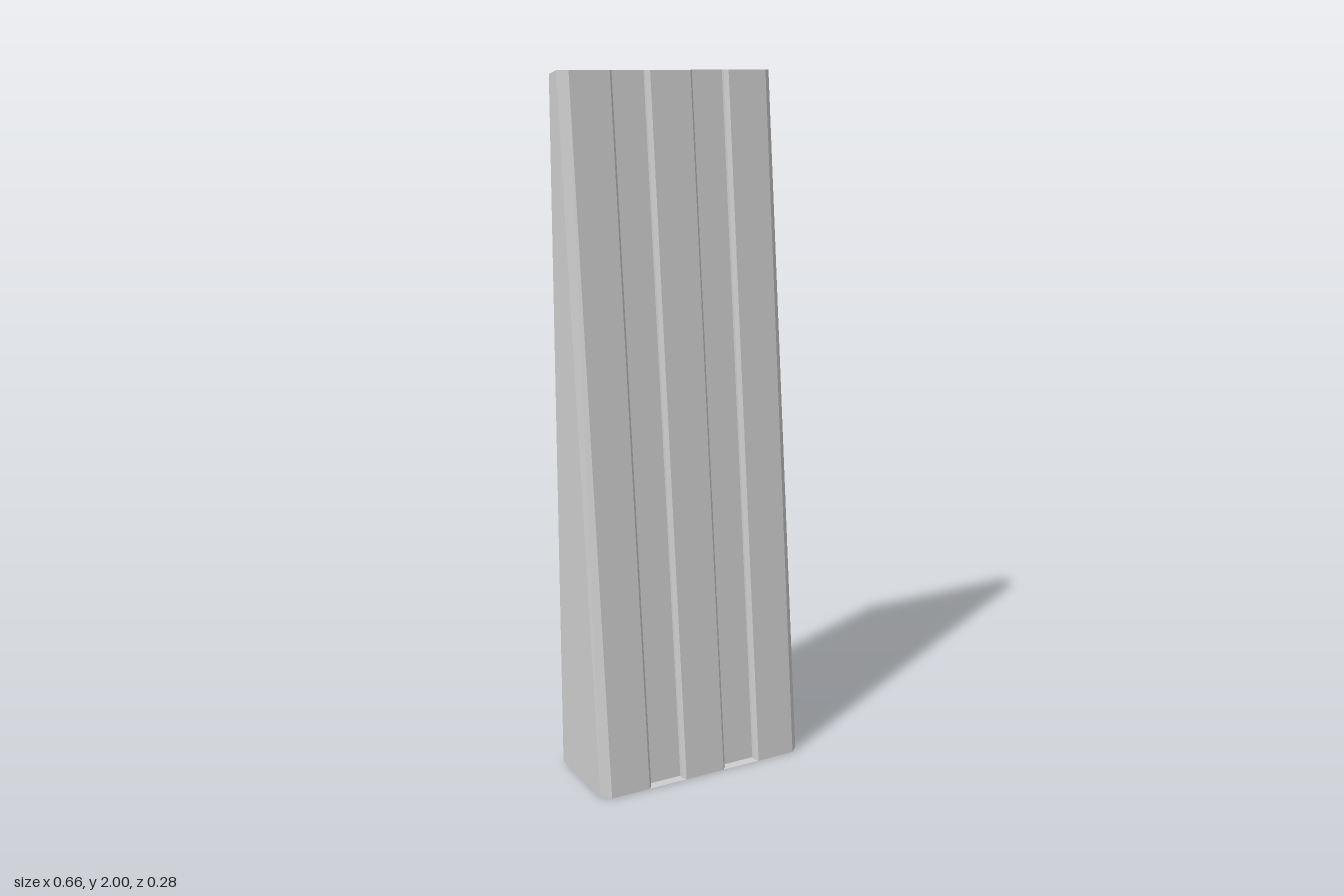
import * as THREE from 'three';

const material = new THREE.MeshStandardMaterial({ color: 0xcccccc, flatShading: true, side: THREE.DoubleSide });

const BACK = -0.14;
const BACK_TOP = 1.99;

// Half of the cross-section from the centre outwards: [x, depth behind the front plane]
const half = [[0.062, 0], [0.072, 0.01], [0.072, 0.02], [0.173, 0.02], [0.173, 0.01], [0.183, 0], [0.303, 0], [0.328, 0.024]];
const profile = [...half.map(([x, d]) => [-x, d]).reverse(), ...half];

// Flat surface strip between two rows of points, facing outwards
function strip(name, lower, upper) {
  const pos = [];
  for (let i = 0; i < lower.length - 1; i++) {
    const [a, b, c, d] = [lower[i], lower[i + 1], upper[i + 1], upper[i]];
    pos.push(...a, ...b, ...c, ...a, ...c, ...d);
  }
  const geometry = new THREE.BufferGeometry();
  geometry.setAttribute('position', new THREE.Float32BufferAttribute(pos, 3));
  geometry.computeVertexNormals();
  const mesh = new THREE.Mesh(geometry, material);
  mesh.name = name;
  return mesh;
}

export function createModel() {
  const group = new THREE.Group();
  group.name = 'slopedPanel';

  // Sloping grooved front
  const bottom = profile.map(([x, d]) => [x, 0, 0.138 - d]);
  const top = profile.map(([x, d]) => [x, 2, -0.069 - d]);
  group.add(strip('groovedFront', bottom, top));

  // Top cap, falling slightly to the back
  group.add(strip('topCap', top, profile.map(([x]) => [x, BACK_TOP, BACK])));

  // Tapered side walls; back and underside stay open
  const last = profile.length - 1;
  group.add(strip('leftSide',
    [bottom[last], [0.328, 0, BACK]], [top[last], [0.328, BACK_TOP, BACK]]));
  group.add(strip('rightSide',
    [[-0.328, 0, BACK], bottom[0]], [[-0.328, BACK_TOP, BACK], top[0]]));

  // Small ledges closing the foot of each groove
  for (const s of [-1, 1]) {
    const xs = s > 0 ? [0.062, 0.072, 0.173, 0.183] : [-0.183, -0.173, -0.072, -0.062];
    const front = xs.map((x) => [x, 0, 0.138]);
    const rear = xs.map((x, i) => [x, i % 3 ? 0.005 : 0, i % 3 ? 0.118 : 0.138]);
    group.add(strip(s > 0 ? 'leftGrooveLedge' : 'rightGrooveLedge', front, rear));
  }
  return group;
}
